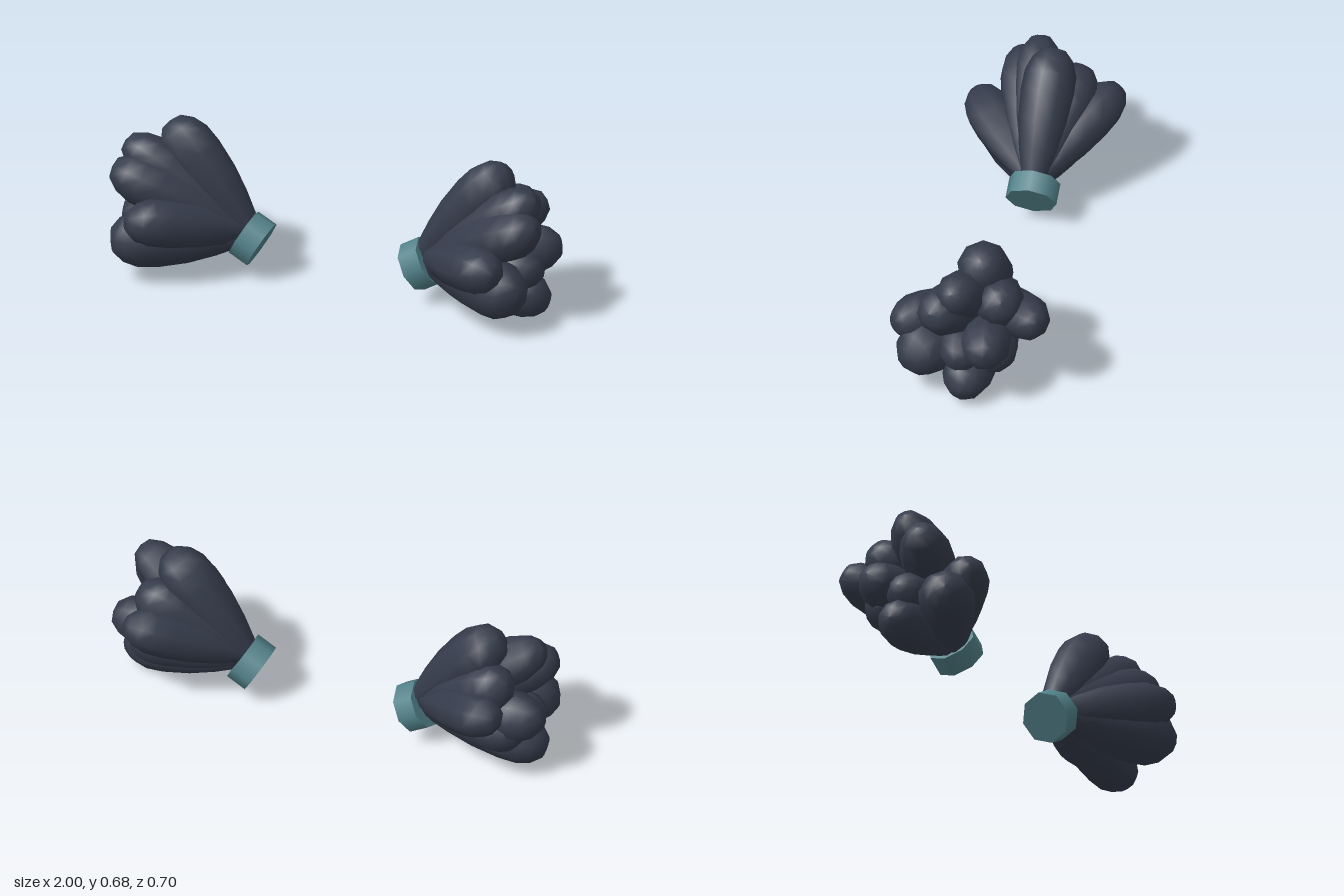
import * as THREE from 'three';

// End point of each tuft (x, y, z) and its thickness, for the +x side
const TUFTS = [
  [0.77, 0.65, -0.045, 1.14],
  [0.94, 0.57, 0.052, 1.04],
  [0.97, 0.475, 0.135, 1.12],
  [0.86, 0.5, -0.155, 1.1],
  [0.86, 0.415, -0.31, 1.0],
  [0.84, 0.31, 0.315, 1.05],
  [0.935, 0.185, 0.25, 1.25],
  [0.96, 0.235, 0.03, 1.05],
  [1.0, 0.305, -0.105, 1.1],
  [0.98, 0.08, 0.0, 1.08],
  [0.91, 0.215, -0.135, 1.03],
];

// Tuft outline: distance along the length (0..1) and radius
const PROFILE = [
  [0, 0.05], [0.2, 0.076], [0.42, 0.096], [0.65, 0.104],
  [0.8, 0.1], [0.91, 0.079], [0.985, 0.044], [1, 0],
];

const UP = new THREE.Vector3(0, 1, 0);

function tuftGeometry(length, thickness) {
  const points = PROFILE.map(([t, r]) => new THREE.Vector2(r * thickness, t * length));
  return new THREE.LatheGeometry(points, 9);
}

function createBunch(side, hair, band) {
  const bunch = new THREE.Group();
  bunch.name = side > 0 ? 'leftBunch' : 'rightBunch';

  // Tied band at the root, tilted upward and outward
  const axis = new THREE.Vector3(side * 0.87, 0.5, 0).normalize();
  const ring = new THREE.Mesh(new THREE.CylinderGeometry(0.112, 0.112, 0.095, 8), band);
  ring.name = 'hairBand';
  ring.position.set(side * 0.387, 0.16, -0.03);
  ring.quaternion.setFromUnitVectors(UP, axis);
  bunch.add(ring);

  // Rounded tufts fanning out; higher tufts start higher across the band
  const across = new THREE.Vector3(side * -0.5, 0.87, 0);
  TUFTS.forEach(([x, y, z, thickness], i) => {
    const root = new THREE.Vector3(side * 0.432, 0.195, -0.03).addScaledVector(across, (y - 0.32) * 0.1);
    const direction = new THREE.Vector3(side * x, y, z).sub(root);
    const tuft = new THREE.Mesh(tuftGeometry(direction.length(), thickness), hair);
    tuft.name = `tuft${i + 1}`;
    tuft.position.copy(root);
    tuft.quaternion.setFromUnitVectors(UP, direction.normalize());
    bunch.add(tuft);
  });
  return bunch;
}

export function createModel() {
  const hair = new THREE.MeshStandardMaterial({ color: 0x363c4c });
  hair.name = 'darkSlateHair';
  const band = new THREE.MeshStandardMaterial({ color: 0x52828a });
  band.name = 'tealBand';

  const model = new THREE.Group();
  model.name = 'hairBunches';
  for (const side of [1, -1]) model.add(createBunch(side, hair, band));
  return model;
}
